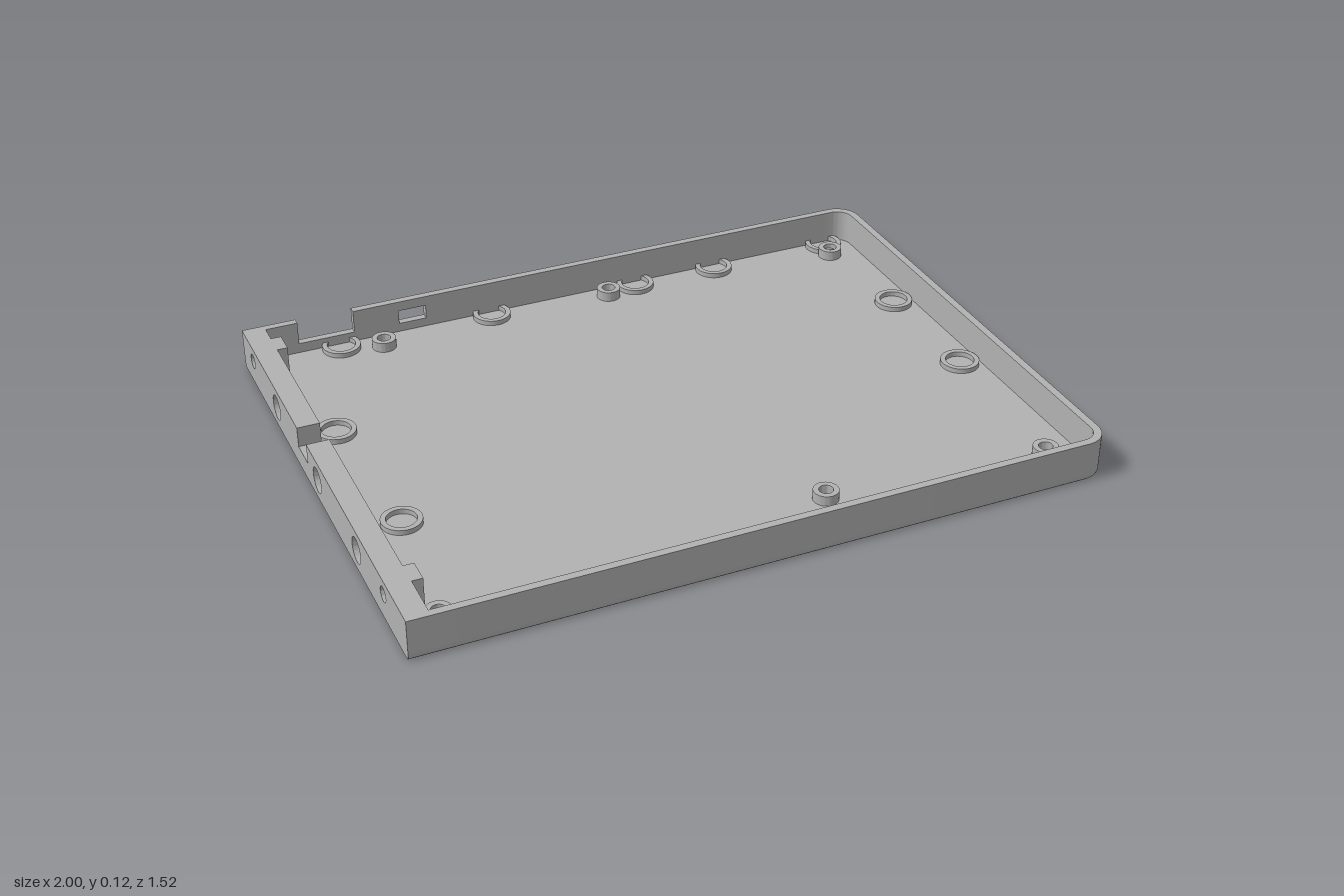
import * as THREE from 'three';
import { toCreasedNormals } from 'three/addons/utils/BufferGeometryUtils.js';

const W = 1, D = 0.76, H = 0.12, FLOOR = 0.02, WALL = 0.023, R = 0.07;
const END_IN = -0.935; // inner face of the thick end wall

export function createModel() {
  const model = new THREE.Group();
  const grey = new THREE.MeshStandardMaterial({ color: 0xb2b2b2 });
  grey.name = 'grey plastic';

  const add = (name, geo) => {
    const mesh = new THREE.Mesh(toCreasedNormals(geo, 0.6), grey);
    mesh.name = name;
    model.add(mesh);
    return mesh;
  };
  const extrude = (shape, depth) =>
    new THREE.ExtrudeGeometry(shape, { depth, bevelEnabled: false, curveSegments: 24 });
  // extrude a plan shape (x, -z) upward from height y
  const rise = (shape, y, h) => extrude(shape, h).rotateX(-Math.PI / 2).translate(0, y, 0);
  const poly = (pts) => new THREE.Shape(pts.map(([x, y]) => new THREE.Vector2(x, y)));
  const circle = (x, y, r) => new THREE.Path().absarc(x, y, r, 0, Math.PI * 2, true);

  // plan outline (x, -z), square at -x and rounded at +x, inset on three sides
  const outline = (inset, startX = -W) => {
    const x = W - inset, d = D - inset, r = R - inset, pts = [[startX, -d]];
    for (const [cy, a0] of [[-d + r, -Math.PI / 2], [d - r, 0]])
      for (let i = 0; i <= 12; i++) {
        const a = a0 + (i / 12) * Math.PI / 2;
        pts.push([x - r + r * Math.cos(a), cy + r * Math.sin(a)]);
      }
    pts.push([startX, d]);
    return pts;
  };

  // floor plate with softened lower edge, lofted through stacked outlines
  const layers = [[0.012, 0], [0.006, 0.002], [0.002, 0.006], [0, 0.012], [0, FLOOR]];
  const pos = [], idx = [];
  let n = 0;
  for (const [inset, y] of layers) {
    const pts = outline(inset);
    n = pts.length;
    for (const [px, py] of pts) pos.push(px, y, -py);
  }
  for (let l = 0; l < layers.length - 1; l++)
    for (let i = 0; i < n; i++) {
      const a = l * n + i, b = l * n + (i + 1) % n;
      idx.push(a, b, b + n, a, b + n, a + n);
    }
  const top = (layers.length - 1) * n;
  for (let i = 1; i < n - 1; i++) {
    idx.push(0, i + 1, i);
    idx.push(top, top + i, top + i + 1);
  }
  const floor = new THREE.BufferGeometry();
  floor.setAttribute('position', new THREE.Float32BufferAttribute(pos, 3));
  floor.setIndex(idx);
  add('floorPlate', floor);

  // thin wall along the front, round the +x end and just past the back corner
  const outer = outline(0, END_IN), inner = outline(WALL, END_IN);
  outer[outer.length - 1][0] = inner[inner.length - 1][0] = 0.9;
  add('rimWall', rise(poly([...outer, ...inner.reverse()]), FLOOR, H - FLOOR));

  // back wall with an open notch and a small window
  const back = poly([[END_IN, FLOOR], [0.9, FLOOR], [0.9, H], [-0.67, H], [-0.67, 0.05],
    [-0.84, 0.05], [-0.84, H], [END_IN, H]]);
  back.holes.push(new THREE.Path([[-0.53, 0.047], [-0.53, 0.09], [-0.445, 0.09], [-0.445, 0.047]]
    .map(([x, y]) => new THREE.Vector2(x, y))));
  add('backWall', extrude(back, WALL).translate(0, 0, -D));

  // thick end wall: notched, with blind holes bored from outside
  const endShape = () => poly([[-D, FLOOR], [D, FLOOR], [D, H], [-0.09, H], [-0.09, 0.06],
    [-0.18, 0.06], [-0.18, H], [-D, H]]);
  const bored = endShape();
  for (const [z, y, r] of [[-0.65, 0.075, 0.022], [-0.4, 0.06, 0.037], [0, 0.06, 0.037],
    [0.35, 0.06, 0.037], [0.575, 0.075, 0.022]]) bored.holes.push(circle(z, y, r));
  add('endWallOuter', extrude(bored, 0.045).rotateY(-Math.PI / 2).translate(-0.955, 0, 0));
  add('endWallInner', extrude(endShape(), 0.02).rotateY(-Math.PI / 2).translate(END_IN, 0, 0));

  // screw blocks inside the end wall
  for (const z of [-0.645, 0.575])
    add('screwBlock', new THREE.BoxGeometry(0.03, H - FLOOR, 0.07)
      .translate(END_IN + 0.015, (H + FLOOR) / 2, z));

  // rings and posts standing on the floor, trimmed where they meet the walls
  const ring = (name, x, z, ro, ri, h) => {
    const limit = D - 0.008;
    const pts = [];
    for (let i = 0; i < 40; i++) {
      const a = (i / 40) * Math.PI * 2;
      pts.push([x + ro * Math.cos(a),
        THREE.MathUtils.clamp(-z + ro * Math.sin(a), -limit, limit)]);
    }
    const shape = poly(pts);
    shape.holes.push(circle(x, -z, ri));
    add(name, rise(shape, FLOOR, h));
  };
  for (const [x, z] of [[-0.72, -0.71], [-0.245, -0.71], [0.23, -0.71], [0.5, -0.71], [0.89, -0.71],
    [-0.87, -0.265], [0.915, -0.29], [0.915, 0.11], [-0.84, 0.225],
    [-0.72, 0.69], [0.15, 0.69], [0.5, 0.69], [0.85, 0.69]])
    ring('floorRing', x, z, 0.057, 0.042, 0.015);
  for (const [x, z] of [[-0.6, -0.67], [0.13, -0.685], [0.88, -0.645], [0.23, 0.575],
    [0.88, 0.63], [-0.885, 0.655]])
    ring('screwPost', x, z, 0.036, 0.02, 0.03);

  return model;
}
